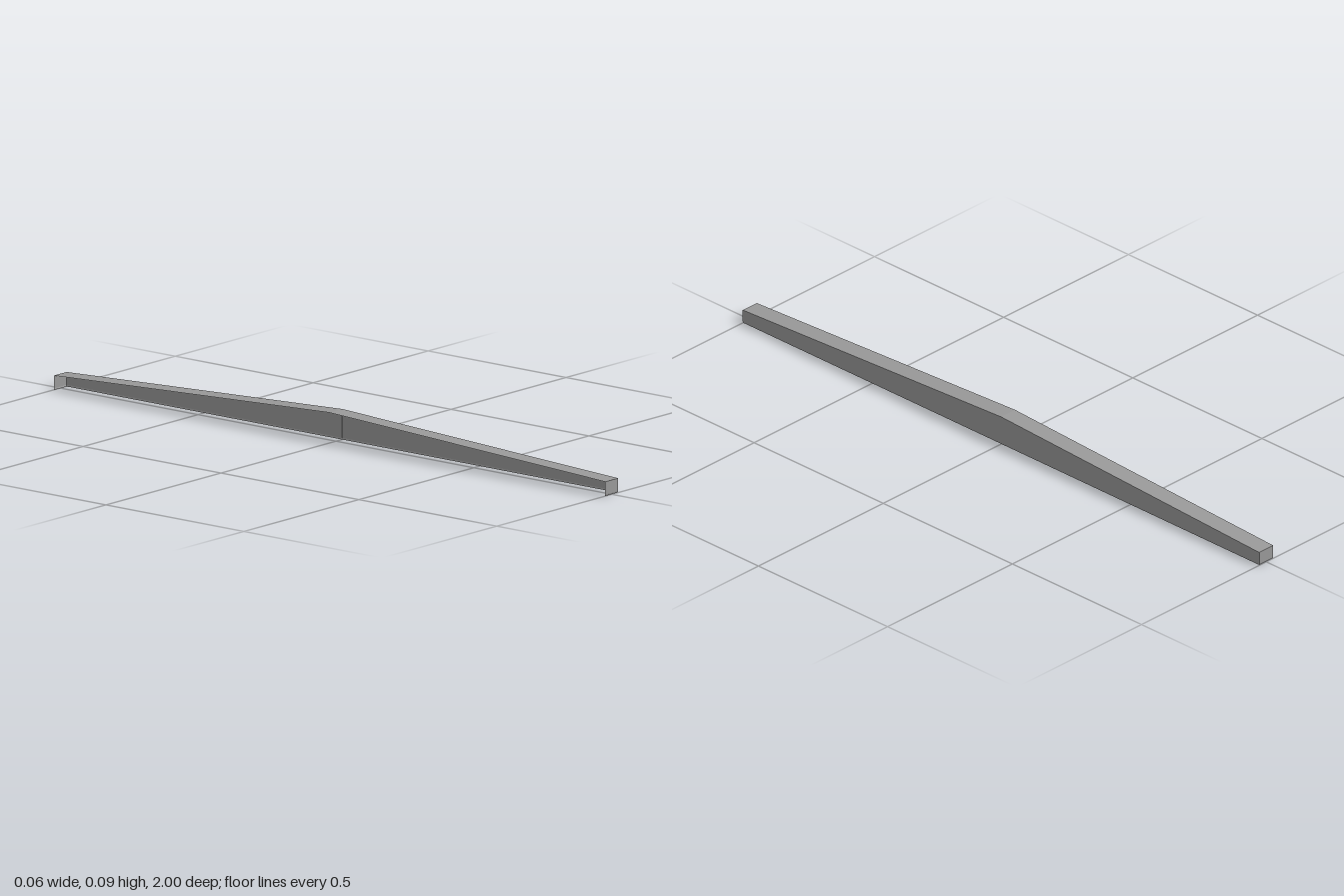
import * as THREE from 'three';

const X = 0.028;       // half width
const LEN = 1;         // half length
const END_H = 0.041;   // height at the ends
const MID_H = 0.087;   // height at the ridge
const HEM = 0.0045;    // width of the turned-in edges
const INSET = 0.0015;  // how far those edges lean inward
const SEAM = 0.001;    // how far the joint stands out of the wall

const material = new THREE.MeshStandardMaterial({
  color: 0x999999, flatShading: true, side: THREE.DoubleSide,
});

// Flat sheet from its corners (counter-clockwise from outside at the +z end);
// s = -1 mirrors it to the -z end.
function sheet(name, corners, s) {
  const pts = corners.map(([x, y, z]) => new THREE.Vector3(x, y, z * s));
  if (s < 0) pts.reverse();
  const geometry = new THREE.BufferGeometry().setFromPoints(pts);
  geometry.setIndex([0, 1, 2, 0, 2, 3]);
  geometry.computeVertexNormals();
  const mesh = new THREE.Mesh(geometry, material);
  mesh.name = name;
  return mesh;
}

export function createModel() {
  const model = new THREE.Group();
  model.name = 'foldedRidgeCover';
  const flapX = -X + HEM, xi = X - INSET, zi = LEN - INSET;

  for (const s of [1, -1]) {
    const half = new THREE.Group();
    half.name = s > 0 ? 'frontHalf' : 'backHalf';
    half.add(
      // sloping top
      sheet('topPanel', [[-X, END_H, LEN], [X, END_H, LEN], [X, MID_H, 0], [-X, MID_H, 0]], s),
      // tapering side wall, the opposite side stays open
      sheet('sideWall', [[X, HEM, LEN], [X, HEM, 0], [X, MID_H, 0], [X, END_H, LEN]], s),
      // end flap
      sheet('endFlap', [[flapX, HEM, LEN], [X, HEM, LEN], [X, END_H, LEN], [flapX, END_H, LEN]], s),
      // turned-in hems along the free edges
      sheet('sideHem', [[xi, 0, zi], [xi, 0, 0], [X, HEM, 0], [X, HEM, LEN]], s),
      sheet('endHem', [[-X, 0, zi], [xi, 0, zi], [X, HEM, LEN], [flapX, HEM, LEN]], s),
      sheet('flapEdgeHem', [[-X, 0, zi], [flapX, HEM, LEN], [flapX, END_H, LEN], [-X, END_H, zi]], s),
    );
    model.add(half);
  }

  // upright joint where the two halves of the side wall meet
  model.add(sheet('wallSeam', [
    [X - SEAM, HEM, 0], [X + SEAM, HEM, 0], [X + SEAM, MID_H, 0], [X - SEAM, MID_H, 0],
  ], 1));
  return model;
}
